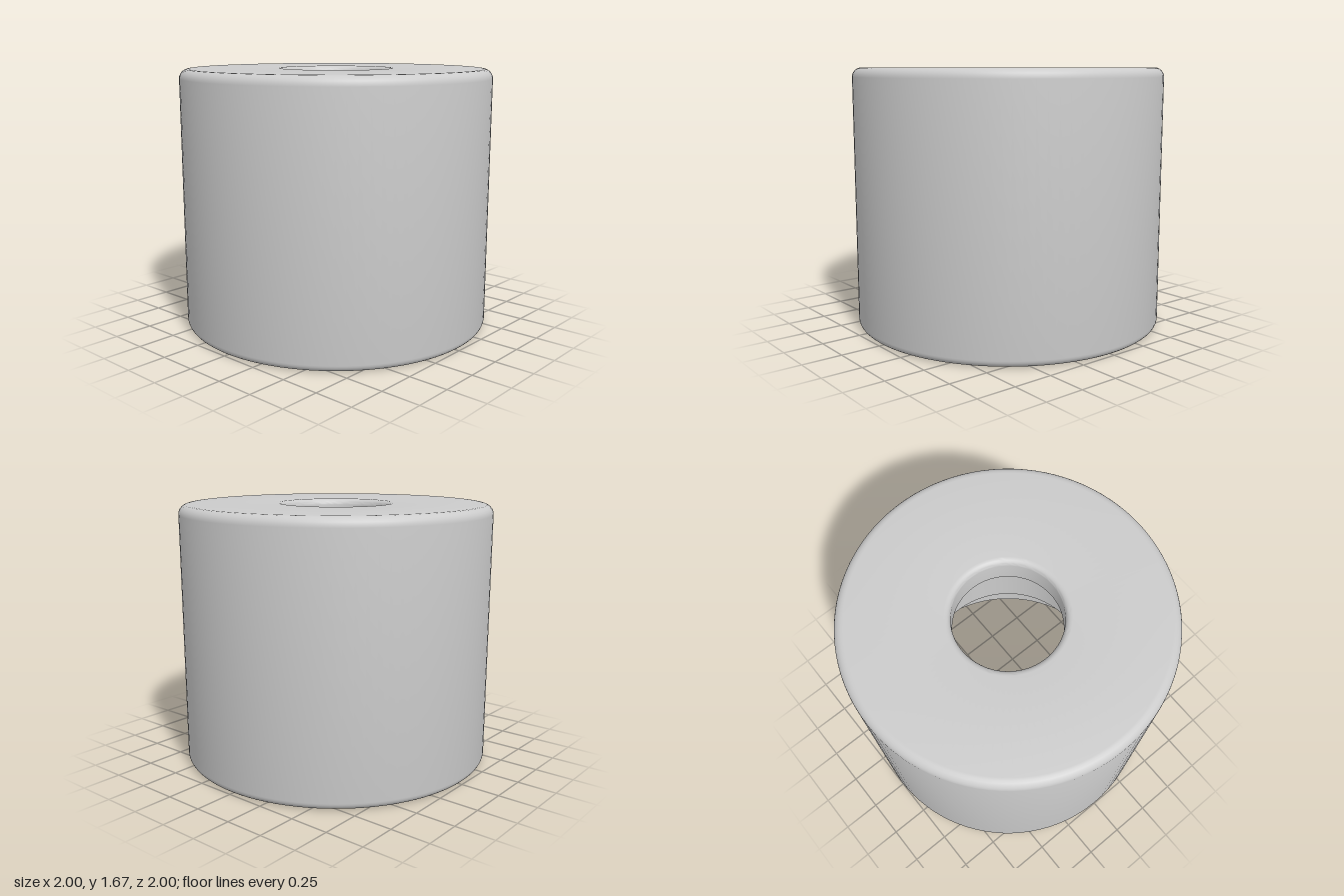
import * as THREE from 'three';
import { toCreasedNormals } from 'three/addons/utils/BufferGeometryUtils.js';

// Turns corners [radius, height, fillet] into a closed profile with rounded right angles
function filletProfile(corners, steps = 6) {
  const points = [];
  const n = corners.length;
  const at = (i) => new THREE.Vector2(corners[(i + n) % n][0], corners[(i + n) % n][1]);
  for (let i = 0; i < n; i++) {
    const corner = at(i);
    const f = corners[i][2];
    if (!f) {
      points.push(corner);
      continue;
    }
    const u = at(i - 1).sub(corner).normalize();
    const v = at(i + 1).sub(corner).normalize();
    for (let k = 0; k <= steps; k++) {
      const t = (k / steps) * Math.PI / 2;
      points.push(corner.clone()
        .addScaledVector(u, f * (1 - Math.sin(t)))
        .addScaledVector(v, f * (1 - Math.cos(t))));
    }
  }
  points.push(points[0].clone());
  return points;
}

export function createModel() {
  const group = new THREE.Group();
  group.name = 'hollowCylinder';
  const material = new THREE.MeshStandardMaterial({ color: 0xcccccc });

  // Outer shell, top hole and stepped bore, as one closed section
  const profile = filletProfile([
    [0.87, 0, 0],        // bottom opening
    [1, 0, 0.045],       // outer bottom edge
    [1, 1.67, 0.06],     // outer top edge
    [0.33, 1.67, 0.04],  // top hole edge
    [0.33, 1.49, 0],     // underside of the top hole
    [0.53, 1.49, 0],     // ceiling
    [0.53, 0.82, 0],     // upper step
    [0.70, 0.82, 0.04],
    [0.70, 0.65, 0],     // lower step
    [0.87, 0.65, 0.04],
  ]);
  const geometry = toCreasedNormals(new THREE.LatheGeometry(profile, 96), 0.6);
  const body = new THREE.Mesh(geometry, material);
  body.name = 'sleeveBody';
  group.add(body);

  return group;
}
